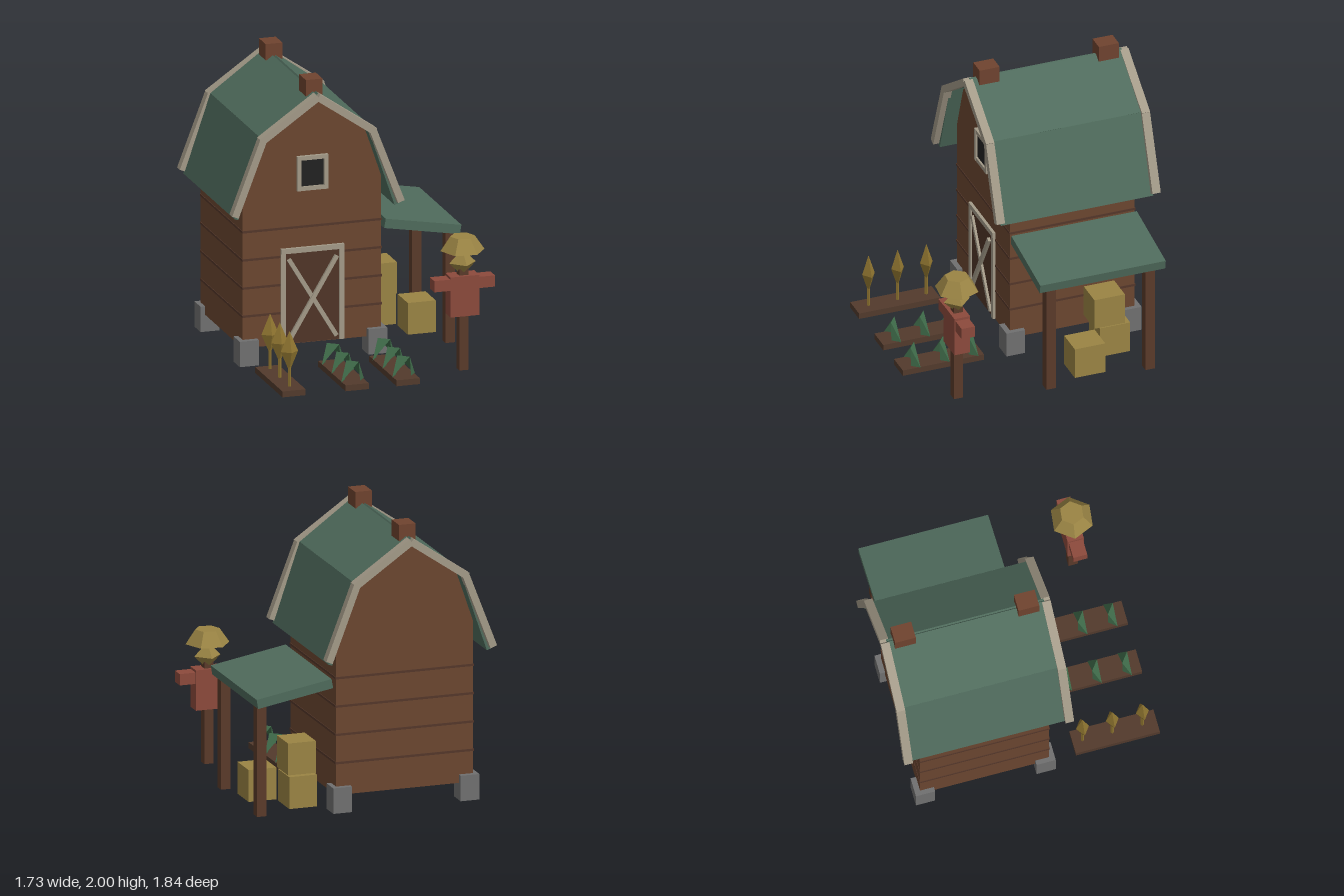
import * as THREE from 'three';

const mat = (color, side = THREE.FrontSide) => new THREE.MeshStandardMaterial({ color, side, flatShading: true });
const M = {
  wall: mat(0x6b4630), line: mat(0x54372a), door: mat(0x503528), wood: mat(0x5a3a2a),
  roof: mat(0x4f6b5c), trim: mat(0xa39a88), brick: mat(0x6f432f), dark: mat(0x222222),
  stone: mat(0x707070), straw: mat(0x9a8444), cloth: mat(0x8c4a3c), soil: mat(0x523a2c),
  corn: mat(0x8f7530), leaf: mat(0x3f6b4a, THREE.DoubleSide),
};

export function createModel() {
  const root = new THREE.Group();
  root.name = 'farmyard';

  const group = (name) => {
    const g = new THREE.Group();
    g.name = name;
    root.add(g);
    return g;
  };
  const add = (parent, name, geo, m, x = 0, y = 0, z = 0) => {
    const mesh = new THREE.Mesh(geo, m);
    mesh.name = name;
    mesh.position.set(x, y, z);
    parent.add(mesh);
    return mesh;
  };
  // Box given by its extents
  const box = (parent, name, m, x0, x1, y0, y1, z0, z1) =>
    add(parent, name, new THREE.BoxGeometry(x1 - x0, y1 - y0, z1 - z0), m,
      (x0 + x1) / 2, (y0 + y1) / 2, (z0 + z1) / 2);
  // Plank running between two points in the XY plane
  const beam = (parent, name, m, x0, y0, x1, y1, width, depth, z) => {
    const geo = new THREE.BoxGeometry(Math.hypot(x1 - x0, y1 - y0), width, depth);
    const b = add(parent, name, geo, m, (x0 + x1) / 2, (y0 + y1) / 2, z);
    b.rotation.z = Math.atan2(y1 - y0, x1 - x0);
    return b;
  };

  // Barn, local x = 0 on its ridge
  const barn = group('barn');
  barn.position.x = -0.25;
  const midZ = -0.325;
  const profile = [[-0.495, 0.12], [0.495, 0.12], [0.495, 1.28], [0.375, 1.605], [0, 1.885], [-0.375, 1.605], [-0.495, 1.28]];
  const shape = new THREE.Shape(profile.map(([x, y]) => new THREE.Vector2(x, y)));
  const body = new THREE.ExtrudeGeometry(shape, { depth: 0.91, bevelEnabled: false });
  add(barn, 'walls', body, M.wall, 0, 0, -0.78);
  for (const y of [0.345, 0.545, 0.745, 0.945])
    box(barn, 'sidingLine', M.line, -0.499, 0.499, y - 0.008, y + 0.008, -0.784, 0.134);

  for (const s of [-1, 1]) {
    // Gambrel roof panels and gable trim
    beam(barn, 'upperRoof', M.roof, 0, 1.905, s * 0.39, 1.622, 0.03, 1.11, midZ);
    beam(barn, 'lowerRoof', M.roof, s * 0.384, 1.63, s * 0.573, 1.072, 0.03, 1.11, midZ);
    for (const z of [0.243, -0.893]) {
      beam(barn, 'upperTrim', M.trim, 0, 1.897, s * 0.405, 1.617, 0.05, 0.06, z);
      beam(barn, 'lowerTrim', M.trim, s * 0.393, 1.625, s * 0.594, 1.1, 0.05, 0.06, z);
    }
    // Corner stones
    for (const z of [0.1, -0.75])
      box(barn, 'cornerStone', M.stone, s * 0.46 - 0.068, s * 0.46 + 0.068, 0, 0.18, z - 0.068, z + 0.068);
  }
  for (const z of [0.108, -0.762])
    box(barn, 'chimney', M.brick, -0.06, 0.06, 1.885, 2, z - 0.073, z + 0.073);

  // Loft window
  box(barn, 'windowPane', M.dark, -0.085, 0.085, 1.23, 1.42, 0.12, 0.14);
  for (const s of [-1, 1]) {
    box(barn, 'windowSide', M.trim, s * 0.096 - 0.015, s * 0.096 + 0.015, 1.205, 1.45, 0.12, 0.155);
    const y = 1.3275 + s * 0.108;
    box(barn, 'windowRail', M.trim, -0.11, 0.11, y - 0.0145, y + 0.0145, 0.12, 0.154);
  }

  // Barn door with crossed braces
  box(barn, 'doorPanel', M.door, -0.21, 0.21, 0.125, 0.77, 0.12, 0.138);
  for (const s of [-1, 1]) {
    box(barn, 'doorJamb', M.trim, s * 0.208 - 0.018, s * 0.208 + 0.018, 0.125, 0.8, 0.12, 0.15);
    beam(barn, 'doorBrace', M.trim, -0.17, 0.44 - s * 0.285, 0.17, 0.44 + s * 0.285, 0.03, 0.02, 0.15 + s * 0.005);
  }
  box(barn, 'doorLintel', M.trim, -0.226, 0.226, 0.766, 0.802, 0.12, 0.151);

  // Lean-to shelter
  const shelter = group('shelter');
  const slab = add(shelter, 'shelterRoof', new THREE.BoxGeometry(0.55, 0.066, 0.915), M.roof, 0.543, 0.863, midZ);
  slab.rotation.z = -Math.PI / 18;
  for (const z of [0.043, -0.68])
    box(shelter, 'shelterPost', M.wood, 0.723, 0.791, 0, 0.8, z - 0.035, z + 0.035);

  // Hay bales
  const hay = group('hayBales');
  for (const [x, y, z] of [[0.43, 0.01, -0.525], [0.63, 0.01, -0.265], [0.425, 0.237, -0.488]])
    box(hay, 'hayBale', M.straw, x - 0.1, x + 0.1, y, y + 0.225, z - 0.111, z + 0.111);

  // Scarecrow
  const scare = group('scarecrow');
  scare.position.set(0.647, 0, 0.675);
  box(scare, 'pole', M.wood, -0.033, 0.033, 0, 0.72, -0.033, 0.033);
  box(scare, 'shirt', M.cloth, -0.103, 0.103, 0.39, 0.675, -0.057, 0.057);
  box(scare, 'arms', M.cloth, -0.217, 0.217, 0.578, 0.658, -0.049, 0.049);
  add(scare, 'head', new THREE.OctahedronGeometry(0.095), M.straw, 0, 0.757, 0);
  const hat = add(scare, 'hat', new THREE.CylinderGeometry(0.085, 0.153, 0.1, 6), M.straw, 0, 0.895, 0);
  hat.rotation.y = Math.PI / 6 - 0.12;

  // Garden beds
  const rows = [0.395, 0.605, 0.817];
  const bed = (name, x) => {
    const g = group(name);
    g.position.x = x;
    box(g, 'soil', M.soil, -0.083, 0.083, 0, 0.042, 0.325, 0.918);
    return g;
  };

  // Ripe stalks
  const cornBed = bed('cornBed', -0.637);
  for (const z of rows) {
    add(cornBed, 'stalk', new THREE.CylinderGeometry(0.012, 0.012, 0.2, 4), M.corn, 0, 0.14, z);
    add(cornBed, 'ear', new THREE.OctahedronGeometry(1), M.corn, 0, 0.29, z).scale.set(0.062, 0.145, 0.046);
  }

  // Leafy plants: two leaves leaning from a shared slanted ridge
  const leafGeo = new THREE.BufferGeometry();
  leafGeo.setAttribute('position', new THREE.Float32BufferAttribute([
    -0.09, 0.04, 0.027, 0.036, 0.178, 0.027, -0.036, 0.178, -0.027, -0.045, 0.04, -0.027], 3));
  leafGeo.setIndex([0, 1, 2, 0, 2, 3]);
  leafGeo.computeVertexNormals();
  for (const x of [-0.186, 0.179]) {
    const g = bed('leafBed', x);
    for (const z of rows)
      for (const turn of [0, Math.PI]) add(g, 'leaf', leafGeo, M.leaf, 0, 0, z).rotation.y = turn;
  }
  return root;
}
